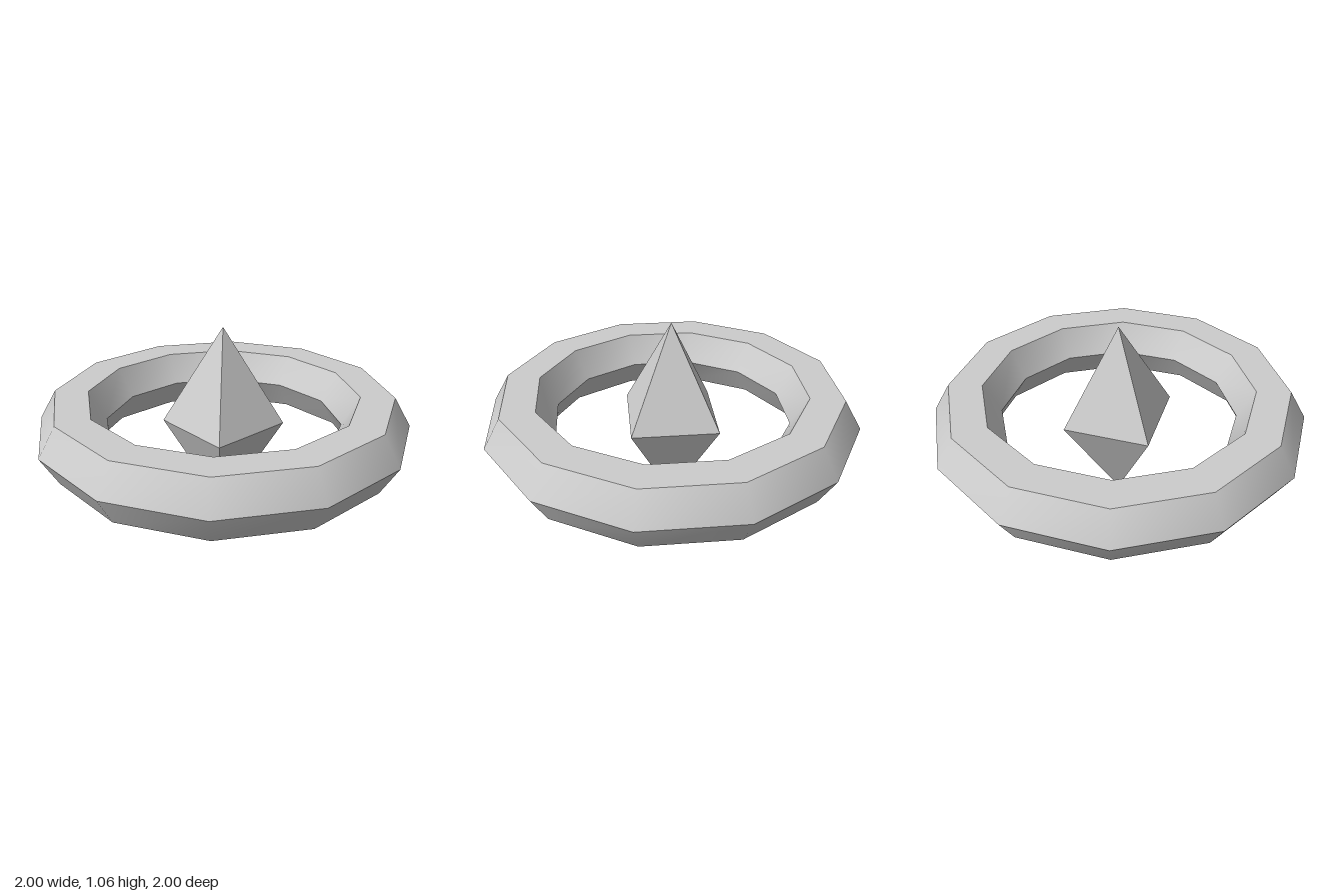
import * as THREE from 'three';
import { toCreasedNormals } from 'three/addons/utils/BufferGeometryUtils.js';

export function createModel() {
  const model = new THREE.Group();
  model.name = 'ringedCrystal';
  const grey = new THREE.MeshStandardMaterial({ color: 0xcccccc });
  grey.name = 'lightGrey';
  const midHeight = 0.53;

  // twelve-segment ring with a hexagonal section, smooth around and sharp between bands
  const ringShape = new THREE.TorusGeometry(0.8175, 0.1825, 6, 12).rotateX(Math.PI / 2);
  const ring = new THREE.Mesh(toCreasedNormals(ringShape, Math.PI / 4), grey);
  ring.name = 'ring';

  // tall eight-faced crystal floating in the middle
  const crystalShape = new THREE.OctahedronGeometry(1).scale(0.325, midHeight, 0.325);
  crystalShape.computeVertexNormals();
  const crystal = new THREE.Mesh(crystalShape, grey);
  crystal.name = 'crystal';

  for (const part of [ring, crystal]) {
    part.position.y = midHeight;
    model.add(part);
  }
  return model;
}
